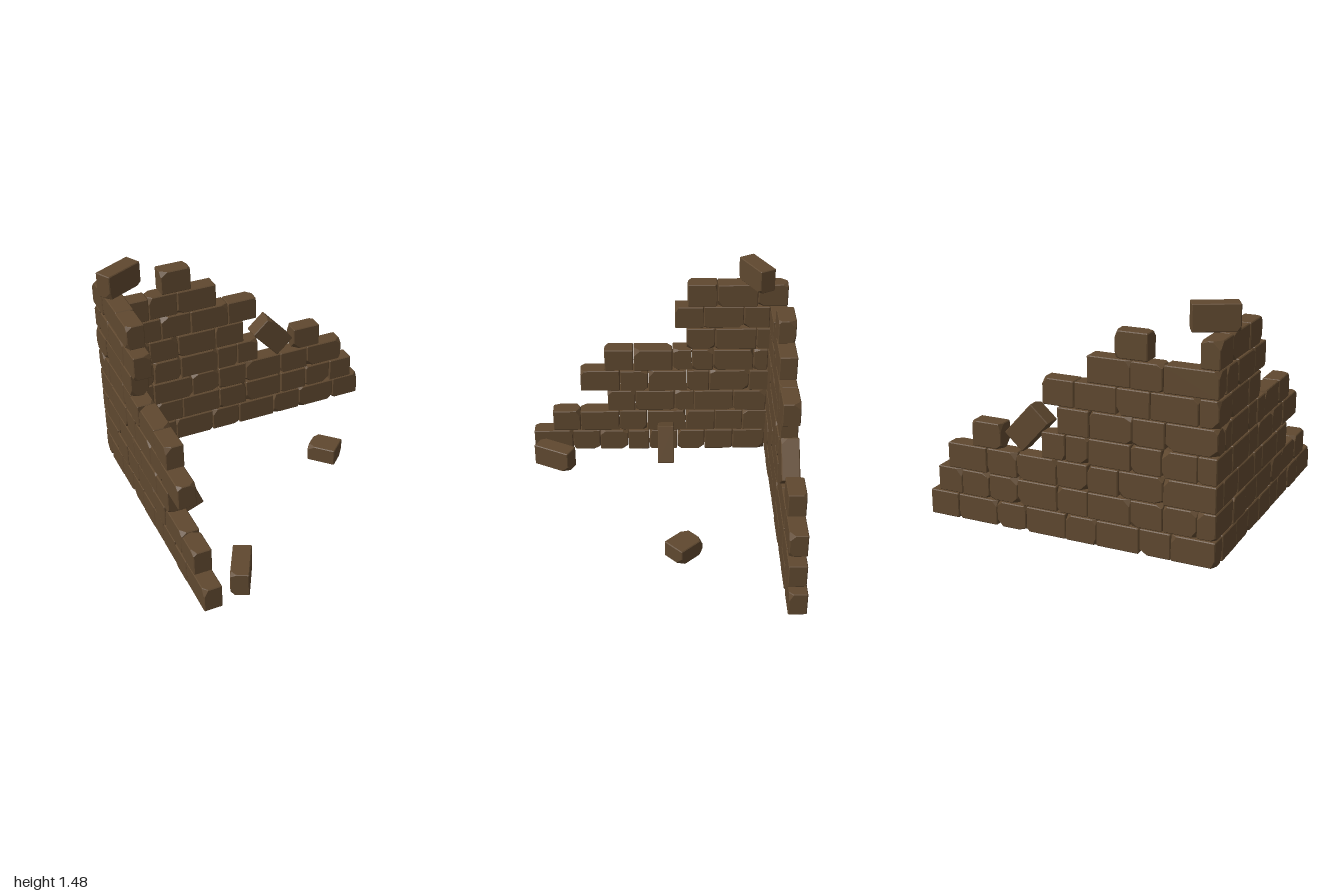
import * as THREE from 'three';
import { ConvexGeometry } from 'three/addons/geometries/ConvexGeometry.js';

const COURSE = 0.1633; // vertical pitch of the courses
const HEIGHT = 0.157;
const DEPTH = 0.113;

// Joint positions along each wall, one list per course, measured from the corner
const backCourses = [
  [0, 0.27, 0.465, 0.735, 0.935, 1.2, 1.4, 1.67, 1.87],
  [0.115, 0.32, 0.52, 0.79, 0.99, 1.255, 1.45, 1.64, 1.81],
  [0, 0.32, 0.595, 0.79, 0.99, 1.255, 1.46, 1.73],
  [0.115, 0.33, 0.52, 0.785, 0.93, 1.085],
  [0, 0.31, 0.51, 0.775, 0.98],
  [0.115, 0.4, 0.605, 0.87, 1.075],
  [0, 0.325, 0.52, 0.79],
  [0.415, 0.62],
];
const sideCourses = [
  [0.115, 0.34, 0.54, 0.735, 0.935, 1.085, 1.285, 1.48, 1.755],
  [0, 0.275, 0.47, 0.675, 0.95, 1.145, 1.42, 1.615],
  [0.115, 0.345, 0.62, 0.755, 1.03, 1.225],
  [0, 0.24, 0.515, 0.67, 0.94, 1.135, 1.41],
  [0.115, 0.215, 0.49, 0.637, 0.77, 1.04, 1.24],
  [0, 0.2, 0.48, 0.675],
  [0.115, 0.29, 0.56, 0.755],
  [0, 0.2, 0.47, 0.67],
];

export function createModel() {
  const brickBrown = new THREE.MeshStandardMaterial({ color: 0x5f482f });
  brickBrown.name = 'brickBrown';

  let seed = 17;
  const random = () => {
    seed = (seed * 16807) % 2147483647;
    return seed / 2147483647;
  };

  // Bevelled block with some corners chipped off
  function brick(name, length) {
    const [a, b, d] = [length / 2, HEIGHT / 2, DEPTH / 2];
    const c = 0.005;
    const points = [];
    for (const sx of [-1, 1]) for (const sy of [-1, 1]) for (const sz of [-1, 1]) {
      const chipped = random() < 0.4;
      const [ex, ey, ez] = [0, 1, 2].map(() => (chipped ? 0.015 + random() * 0.035 : c));
      const add = (x, y, z) => points.push(new THREE.Vector3(sx * x, sy * y, sz * z));
      add(a - ex, b - c, d);
      add(a - ex, b, d - c);
      add(a - c, b - ey, d);
      add(a, b - ey, d - c);
      add(a - c, b, d - ez);
      add(a, b - c, d - ez);
    }
    const mesh = new THREE.Mesh(new ConvexGeometry(points), brickBrown);
    mesh.name = name;
    return mesh;
  }

  const model = new THREE.Group();
  model.name = 'ruinedBrickWall';

  // Two walls meeting at the rear corner
  const walls = new THREE.Group();
  walls.name = 'cornerWalls';
  walls.position.set(-0.87, 0, -0.88);
  walls.rotation.y = THREE.MathUtils.degToRad(-4.75);
  model.add(walls);

  function buildWall(name, courses, turned) {
    const wall = new THREE.Group();
    wall.name = name;
    const lay = (from, to, row) => {
      const block = brick(name + 'Brick', to - from - 0.004);
      const mid = (from + to) / 2;
      const across = DEPTH / 2 + (random() - 0.5) * 0.006;
      const y = 0.01 + HEIGHT / 2 + row * COURSE;
      if (turned) {
        block.rotation.y = -Math.PI / 2;
        block.position.set(across, y, mid);
      } else {
        block.position.set(mid, y, across);
      }
      wall.add(block);
    };
    courses.forEach((joints, row) => {
      for (let i = 1; i < joints.length; i++) lay(joints[i - 1], joints[i], row);
    });
    walls.add(wall);
    return lay;
  }
  const layBack = buildWall('backWall', backCourses, false);
  buildWall('sideWall', sideCourses, true);
  layBack(1.355, 1.555, 3); // lone brick left standing on the broken edge

  // Loose bricks: name, length, position, rotation in degrees
  const loose = [
    ['topBrick', 0.27, [-0.775, 1.395, -0.655], [0, 23, 0]],
    ['slippingBrick', 0.265, [0.313, 0.655, -0.71], [0, -4.75, -48]],
    ['leaningBrick', 0.265, [-0.705, 0.145, -0.045], [0, -5, 111]],
    ['fallenBrickSide', 0.268, [-0.705, 0.088, 0.735], [0, 58, 0]],
    ['fallenBrickFront', 0.19, [0.362, 0.066, -0.058], [90, 0, 51]],
  ];
  for (const [name, length, position, angles] of loose) {
    const block = brick(name, length);
    block.position.set(...position);
    block.rotation.set(...angles.map(THREE.MathUtils.degToRad));
    if (name === 'leaningBrick' || name === 'slippingBrick') block.rotation.order = 'YXZ';
    model.add(block);
  }
  return model;
}
